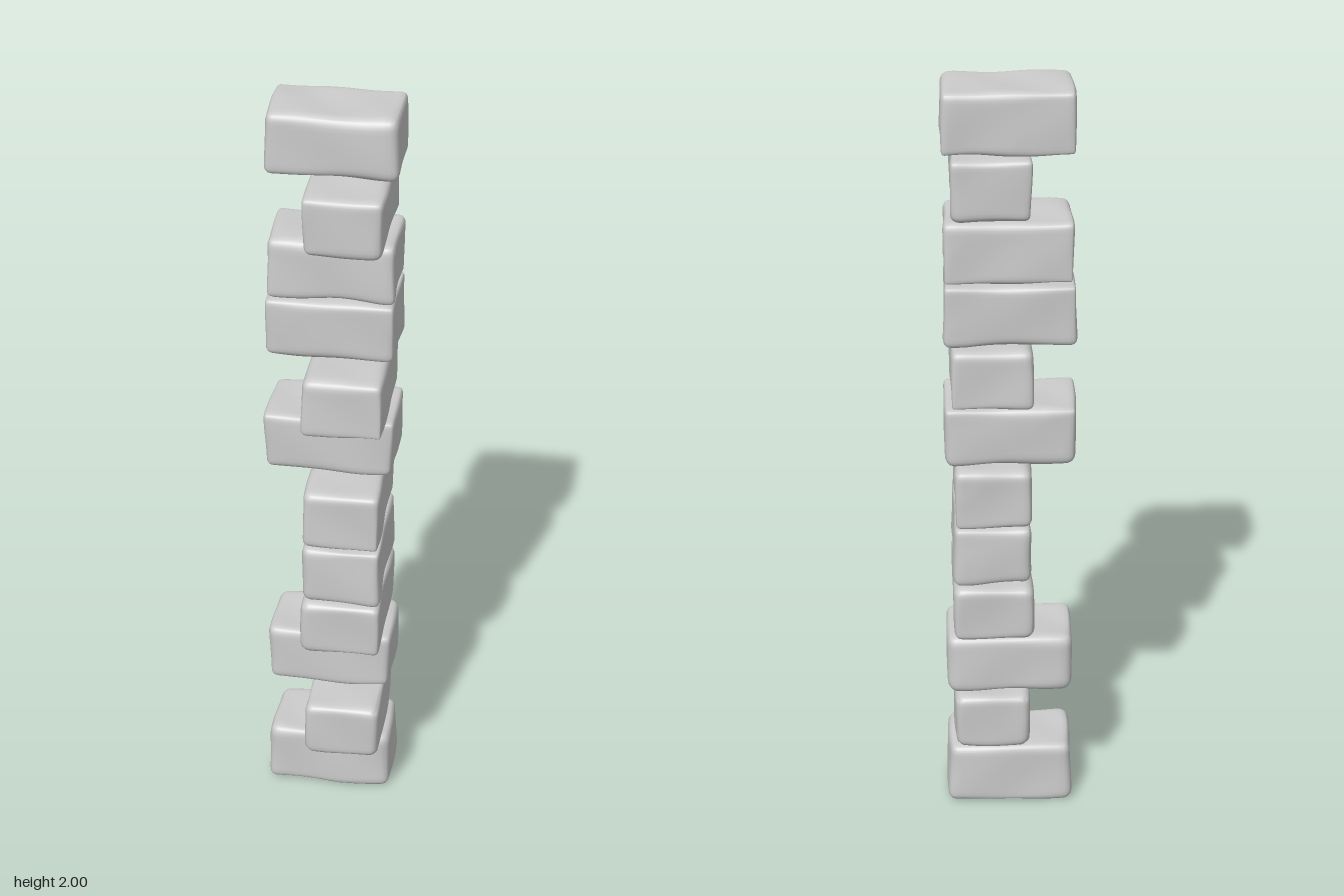
import * as THREE from 'three';
import { mergeVertices } from 'three/addons/utils/BufferGeometryUtils.js';

// Each stone: [xMin, xMax, zMin, zMax, yMin, yMax], bottom to top
const STONES = [
  [-0.17, 0.168, -0.147, 0.066, 0.0, 0.175],
  [-0.056, 0.15, -0.16, 0.168, 0.176, 0.338],
  [-0.168, 0.168, -0.145, 0.066, 0.342, 0.508],
  [-0.064, 0.148, -0.168, 0.168, 0.51, 0.668],
  [-0.06, 0.148, -0.16, 0.168, 0.671, 0.838],
  [-0.06, 0.144, -0.168, 0.168, 0.84, 1.005],
  [-0.172, 0.168, -0.147, 0.066, 1.008, 1.172],
  [-0.06, 0.15, -0.163, 0.168, 1.174, 1.334],
  [-0.17, 0.168, -0.147, 0.066, 1.337, 1.503],
  [-0.163, 0.168, -0.142, 0.066, 1.505, 1.668],
  [-0.056, 0.148, -0.159, 0.168, 1.67, 1.834],
  [-0.163, 0.17, -0.143, 0.064, 1.836, 2.0],
];

function seeded(seed) {
  let s = seed * 7919 + 13;
  return () => {
    s = (s * 16807) % 2147483647;
    return s / 2147483647;
  };
}

// Smooth worn block: rounded edges of varying radius, with shallow hollows
function stoneGeometry(size, seed) {
  const rnd = seeded(seed + 1);
  for (let i = 0; i < 5; i++) rnd();
  const phase = Array.from({ length: 8 }, () => rnd() * Math.PI * 2);
  const half = size.clone().multiplyScalar(0.5);
  let geo = new THREE.BoxGeometry(2, 2, 2, 18, 18, 18);
  geo.deleteAttribute('uv');
  geo.deleteAttribute('normal');
  geo = mergeVertices(geo, 1e-4);
  const pos = geo.attributes.position;
  const p = new THREE.Vector3(), core = new THREE.Vector3(), d = new THREE.Vector3();
  for (let i = 0; i < pos.count; i++) {
    p.fromBufferAttribute(pos, i);
    // Crowd the grid towards the edges
    p.set(...p.toArray().map((t) => Math.sin(t * Math.PI / 2))).multiply(half);
    const wear = Math.sin(p.x * 17 + phase[0]) + Math.sin(p.y * 21 + phase[1]) + Math.sin(p.z * 17 + phase[2]);
    const r = 0.023 + 0.004 * wear;
    core.copy(half).subScalar(r);
    core.set(
      THREE.MathUtils.clamp(p.x, -core.x, core.x),
      THREE.MathUtils.clamp(p.y, -core.y, core.y),
      THREE.MathUtils.clamp(p.z, -core.z, core.z));
    d.subVectors(p, core).normalize();
    const hollow = 1 + Math.sin(p.x * 20 + p.y * 11 + phase[3]) * Math.cos(p.z * 19 - p.y * 14 + phase[4])
      + 0.5 * Math.sin(p.x * 31 - p.z * 27 + phase[5]);
    p.copy(core).addScaledVector(d, r - 0.0028 * Math.max(0, hollow));
    // Slight taper so the faces are not quite parallel
    p.x *= 1 - 0.012 * (1 + Math.sin(p.y * 15 + phase[6]));
    p.z *= 1 - 0.012 * (1 + Math.sin(p.y * 15 + phase[7]));
    pos.setXYZ(i, p.x, p.y, p.z);
  }
  geo.computeVertexNormals();
  return geo;
}

export function createModel() {
  const group = new THREE.Group();
  group.name = 'cornerStones';
  const material = new THREE.MeshStandardMaterial({ color: 0xcccccc });
  // Stones stacked with long sides alternating between front and side
  STONES.forEach(([x0, x1, z0, z1, y0, y1], i) => {
    const size = new THREE.Vector3(x1 - x0, y1 - y0, z1 - z0);
    const stone = new THREE.Mesh(stoneGeometry(size, i), material);
    stone.name = `stone${i + 1}`;
    stone.position.set((x0 + x1) / 2, (y0 + y1) / 2, (z0 + z1) / 2);
    group.add(stone);
  });
  return group;
}
